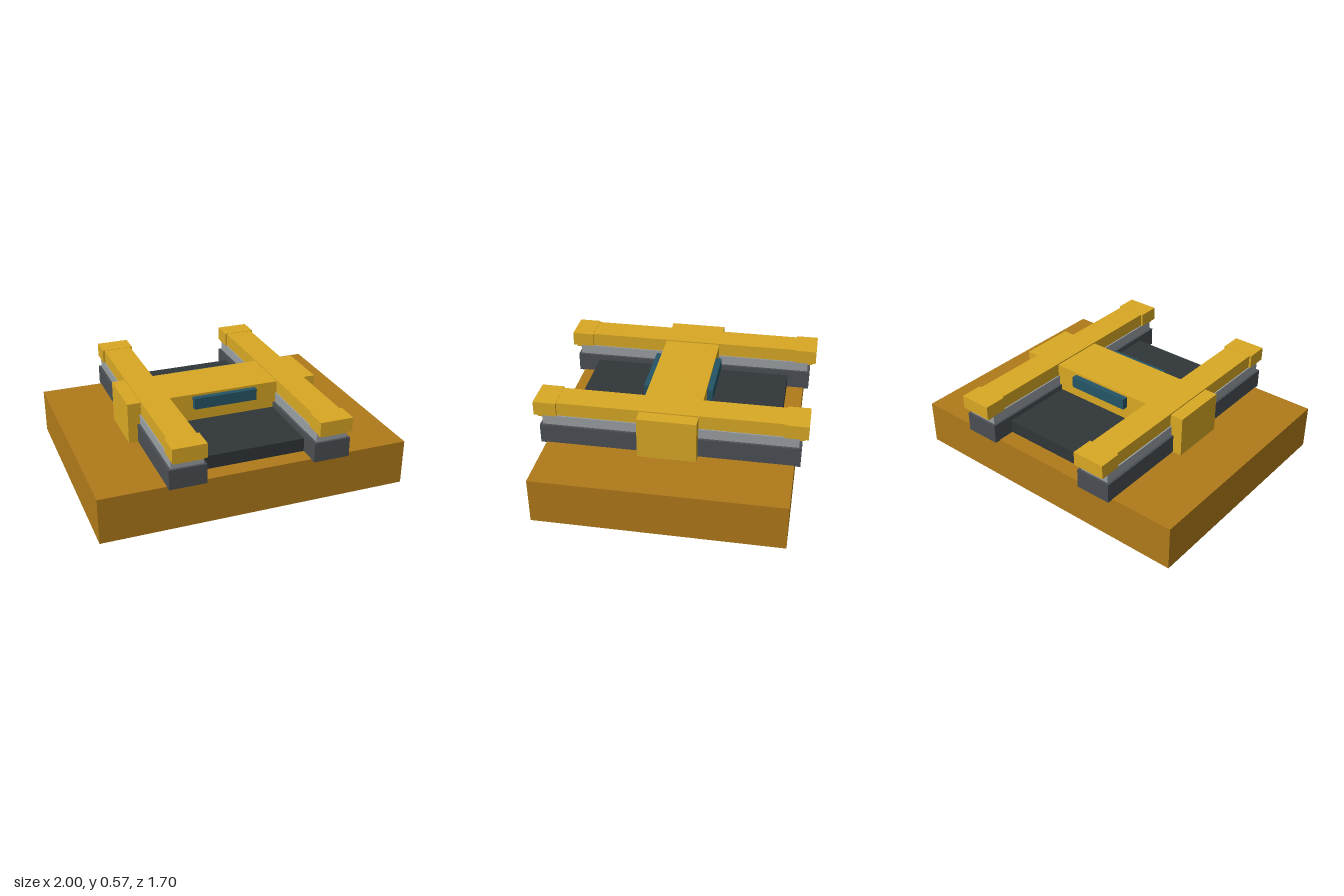
import * as THREE from 'three';

const material = (color) => new THREE.MeshStandardMaterial({ color, flatShading: true });

export function createModel() {
  const model = new THREE.Group();
  model.name = 'railFixture';

  const wood = material(0xb07a1a);
  const yellow = material(0xd9a824);
  const darkSteel = material(0x4a4f53);
  const lightSteel = material(0x9a9fa3);
  const charcoal = material(0x303638);
  const blue = material(0x255566);

  // Box centred on x and z, spanning y0 to y1
  const slab = (parent, name, mat, width, y0, y1, depth, x = 0, z = 0) => {
    const mesh = new THREE.Mesh(new THREE.BoxGeometry(width, y1 - y0, depth), mat);
    mesh.name = name;
    mesh.position.set(x, (y0 + y1) / 2, z);
    parent.add(mesh);
  };

  // Base block and the plate between the rails
  slab(model, 'base', wood, 2, 0, 0.296, 1.554);
  slab(model, 'centrePlate', charcoal, 0.72, 0.296, 0.384, 1.33);

  // Bridge across both rails, with a panel showing on its front and back
  slab(model, 'crossBridge', yellow, 1.286, 0.296, 0.565, 0.368);
  slab(model, 'bridgePanel', blue, 0.426, 0.475, 0.55, 0.444);

  // Mirrored rail stacks
  for (const side of [-1, 1]) {
    const rail = new THREE.Group();
    rail.name = side > 0 ? 'leftRail' : 'rightRail';
    rail.position.x = side * 0.464;
    slab(rail, 'railBed', darkSteel, 0.236, 0.292, 0.42, 1.626);
    slab(rail, 'railStrip', lightSteel, 0.204, 0.42, 0.484, 1.594);
    slab(rail, 'topBeam', yellow, 0.186, 0.466, 0.573, 1.658);
    // Wider caps at both ends of the beam
    for (const end of [-1, 1]) {
      slab(rail, end > 0 ? 'frontCap' : 'backCap', yellow, 0.214, 0.484, 0.575, 0.144, 0, end * 0.778);
    }
    model.add(rail);
  }
  return model;
}
